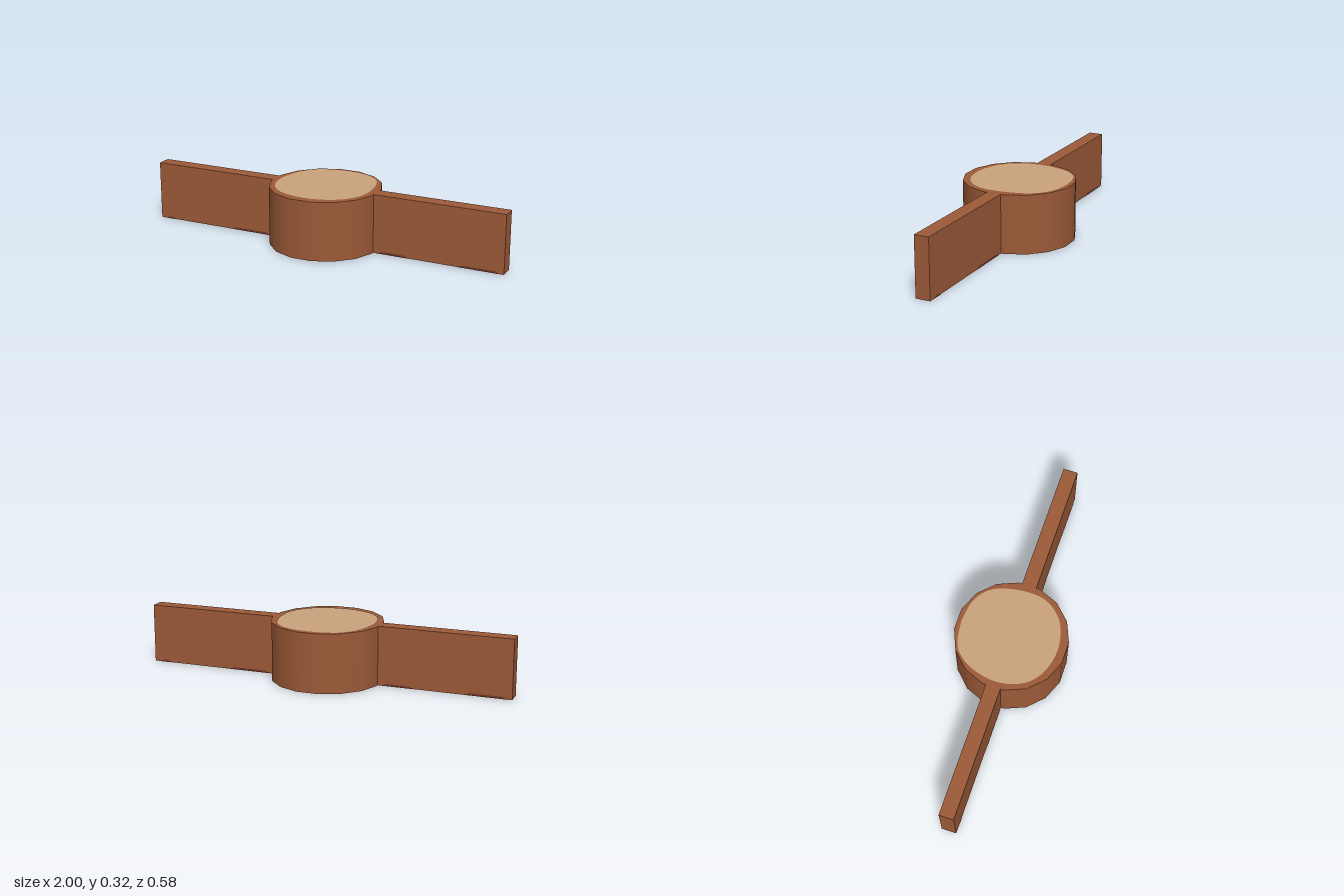
import * as THREE from 'three';

export function createModel() {
  const model = new THREE.Group();
  const bark = new THREE.MeshStandardMaterial({ color: 0x9c5a38, side: THREE.DoubleSide });
  bark.name = 'barkBrown';
  const wood = new THREE.MeshStandardMaterial({ color: 0xcaa27d });
  wood.name = 'cutWoodTan';
  const dark = new THREE.MeshStandardMaterial({ color: 0x6f3626 });
  dark.name = 'darkBark';

  const H = 0.315, R = 0.297, SIDES = 16;
  const flat = R * Math.cos(Math.PI / SIDES);
  const add = (name, geometry, material, x = 0, y = 0, z = 0) => {
    const mesh = new THREE.Mesh(geometry, material);
    mesh.name = name;
    mesh.position.set(x, y, z);
    model.add(mesh);
    return mesh;
  };

  // Hollow stump wall, open below, with a flat side facing each rail
  add('stumpWall', new THREE.CylinderGeometry(R, R, H, SIDES, 1, true, Math.PI / SIDES), bark, 0, H / 2);

  // Stump top
  const cap = new THREE.CircleGeometry(R, SIDES, Math.PI / SIDES);
  cap.rotateX(-Math.PI / 2);
  add('stumpTop', cap, bark, 0, H);

  // Uneven cut face lying on the top, given as x and z
  const outline = [
    [0, -0.27], [0.12, -0.25], [0.205, -0.185], [0.245, -0.08], [0.254, 0.05], [0.22, 0.145],
    [0.135, 0.22], [0, 0.25], [-0.135, 0.22], [-0.225, 0.14], [-0.262, 0.01],
    [-0.235, -0.13], [-0.175, -0.22], [-0.1, -0.257],
  ].map(([x, z]) => new THREE.Vector2(x, -z));
  const face = new THREE.Shape();
  face.moveTo(outline[0].x, outline[0].y);
  face.splineThru([...outline.slice(1), outline[0]]);
  const faceGeometry = new THREE.ShapeGeometry(face, 4);
  faceGeometry.rotateX(-Math.PI / 2);
  add('cutFace', faceGeometry, wood, 0, H + 0.002);

  // Rails on both sides
  const length = 1 - flat;
  for (const side of [-1, 1]) {
    add(side > 0 ? 'leftRail' : 'rightRail', new THREE.BoxGeometry(length, H, 0.078), bark,
      side * (flat + length / 2), H / 2, 0);
  }

  // Dark stains along the foot of the rails, front and back: start and end x
  for (const [a, b] of [[-0.97, -0.9], [-0.55, -0.31], [0.31, 0.49], [0.75, 0.98]]) {
    const stain = new THREE.Shape();
    stain.moveTo(a, 0);
    stain.lineTo(b, 0);
    stain.lineTo(b - 0.03, 0.012);
    stain.lineTo(a + 0.03, 0.012);
    const geometry = new THREE.ShapeGeometry(stain);
    add('frontStain', geometry, dark, 0, 0, 0.0405);
    add('backStain', geometry, dark, 0, 0, -0.0405).rotation.y = Math.PI;
  }
  return model;
}
